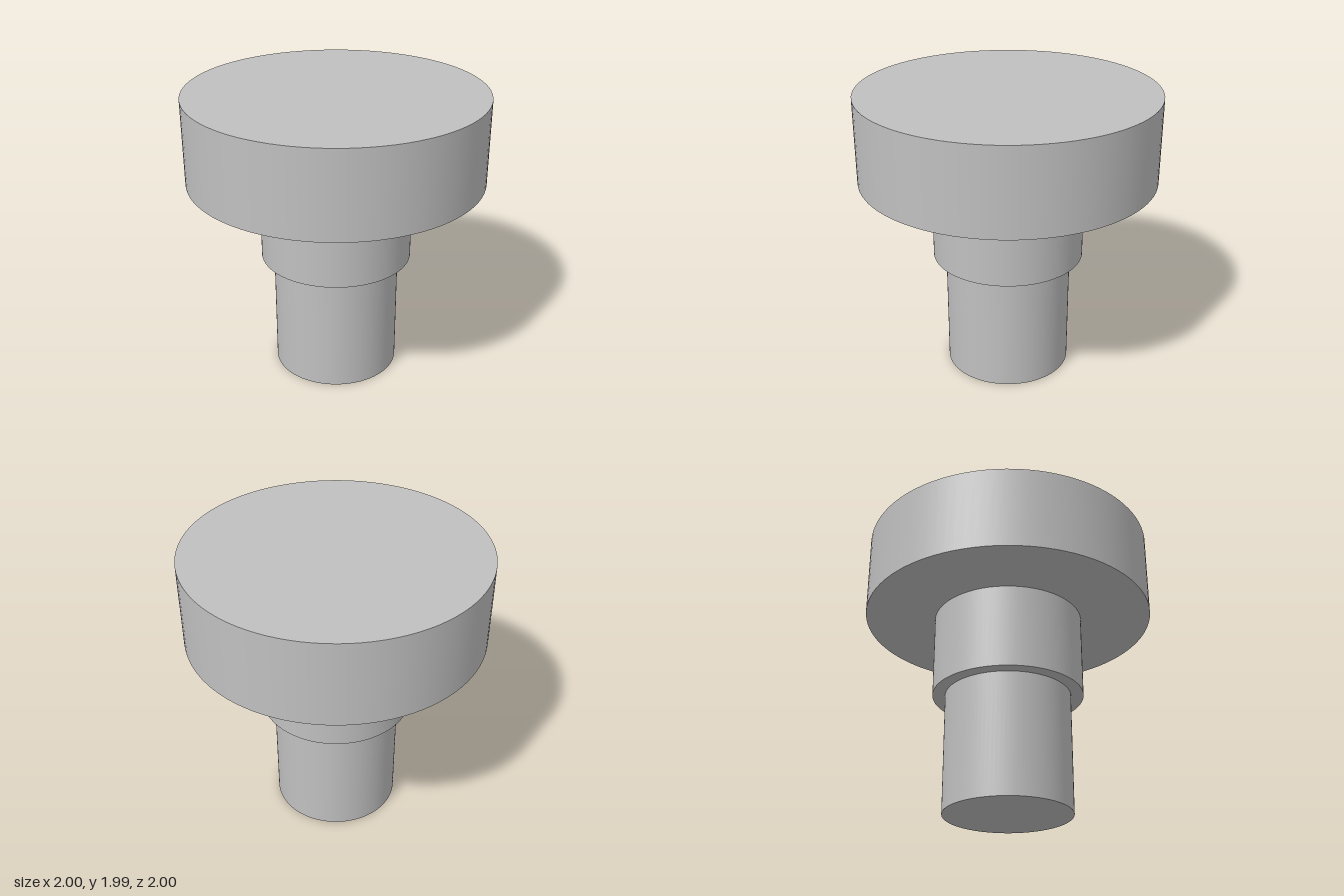
import * as THREE from 'three';

export function createModel() {
  const model = new THREE.Group();
  model.name = 'steppedPin';

  const grey = new THREE.MeshStandardMaterial({ color: 0xc0c0c0 });
  grey.name = 'plain grey';

  // Solid round section between two heights
  function addSection(name, radius, bottom, top) {
    const geometry = new THREE.CylinderGeometry(radius, radius, top - bottom, 96);
    const mesh = new THREE.Mesh(geometry, grey);
    mesh.name = name;
    mesh.position.y = (bottom + top) / 2;
    model.add(mesh);
  }

  addSection('shank', 0.43, 0, 0.83);
  addSection('collar', 0.516, 0.83, 1.408);
  addSection('head', 1, 1.408, 1.986);

  return model;
}
